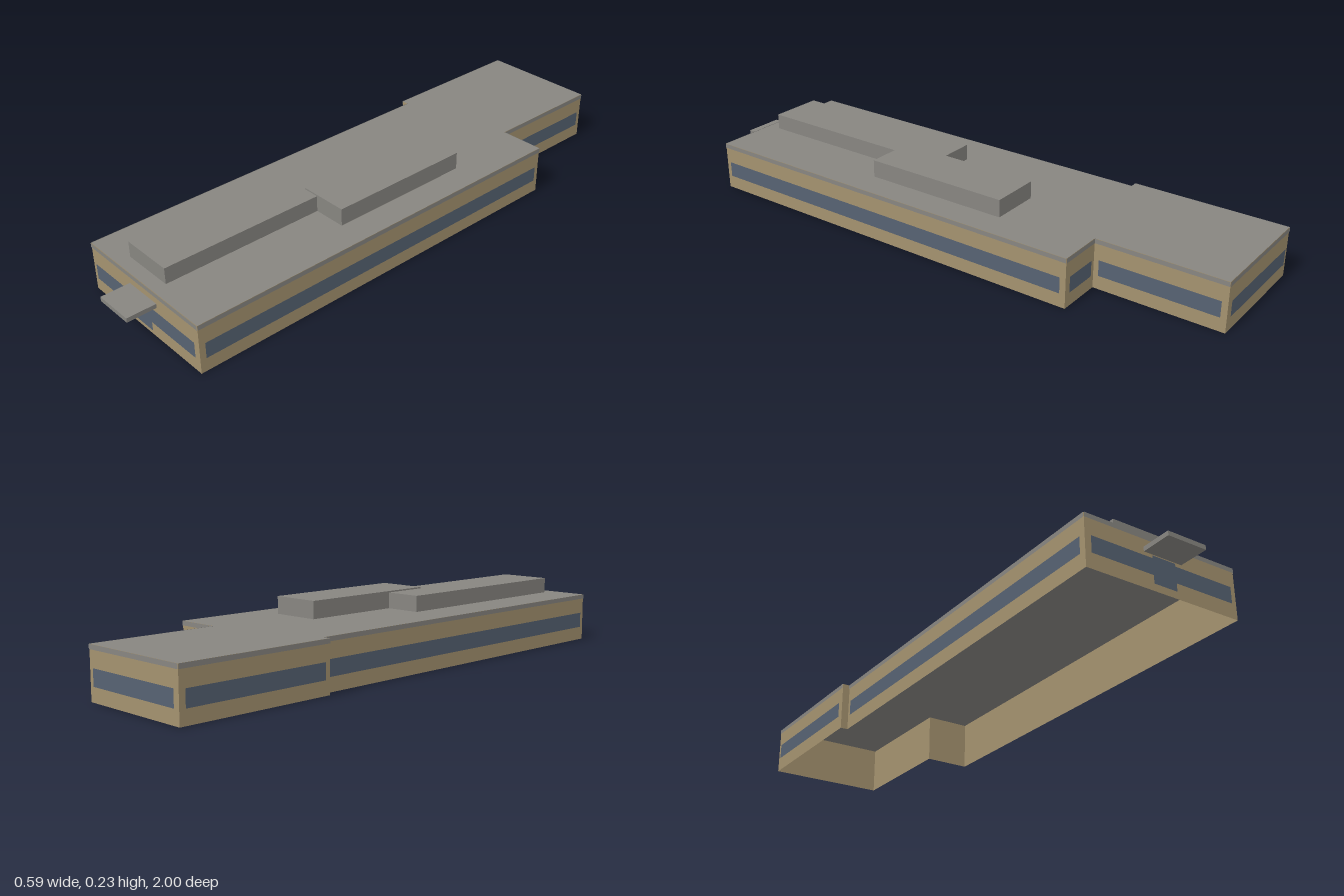
import * as THREE from 'three';

const H = 0.17;

// Footprint corners [x, z], starting at the front and running round past +x
const FOOTPRINT = [
  [-0.262, 0.9], [0.29, 0.9], [0.29, -0.557], [0.13, -0.557],
  [0.13, -1], [-0.292, -1], [-0.292, -0.46], [-0.266, -0.46],
];

export function createModel() {
  const wallMat = new THREE.MeshStandardMaterial({ color: 0xa4926f, side: THREE.DoubleSide });
  wallMat.name = 'tan wall';
  const roofMat = new THREE.MeshStandardMaterial({ color: 0x878580, side: THREE.DoubleSide });
  roofMat.name = 'grey roof';
  const glassMat = new THREE.MeshStandardMaterial({ color: 0x566272 });
  glassMat.name = 'blue grey glass';

  const model = new THREE.Group();
  model.name = 'building';

  // Upright panel along a wall from a to b, pushed outward by offset
  function panel(name, mat, a, b, y0, y1, margin, offset) {
    const dx = b[0] - a[0], dz = b[1] - a[1];
    const len = Math.hypot(dx, dz);
    const nx = -dz / len, nz = dx / len;
    const mesh = new THREE.Mesh(new THREE.PlaneGeometry(len - 2 * margin, y1 - y0), mat);
    mesh.name = name;
    mesh.position.set((a[0] + b[0]) / 2 + nx * offset, (y0 + y1) / 2, (a[1] + b[1]) / 2 + nz * offset);
    mesh.rotation.y = Math.atan2(nx, nz);
    model.add(mesh);
  }

  function block(name, x0, x1, y0, y1, z0, z1) {
    const mesh = new THREE.Mesh(new THREE.BoxGeometry(x1 - x0, y1 - y0, z1 - z0), roofMat);
    mesh.name = name;
    mesh.position.set((x0 + x1) / 2, (y0 + y1) / 2, (z0 + z1) / 2);
    model.add(mesh);
  }

  // Walls open underneath; all but the tiny step carry a window strip and roof band
  FOOTPRINT.forEach((a, i) => {
    const b = FOOTPRINT[(i + 1) % FOOTPRINT.length];
    panel('wall', wallMat, a, b, 0, H, 0, 0);
    if (Math.hypot(b[0] - a[0], b[1] - a[1]) < 0.05) return;
    panel('windowStrip', glassMat, a, b, 0.048, 0.102, 0.019, 0.003);
    panel('roofBand', roofMat, a, b, 0.155, H, 0, 0.002);
  });

  // Flat roof
  const shape = new THREE.Shape(FOOTPRINT.map(([x, z]) => new THREE.Vector2(x, -z)));
  const roof = new THREE.Mesh(new THREE.ShapeGeometry(shape).rotateX(-Math.PI / 2), roofMat);
  roof.name = 'roof';
  roof.position.y = H;
  model.add(roof);

  // Overlapping rooftop blocks
  block('frontRoofBlock', -0.118, 0.07, H, 0.225, 0.113, 0.853);
  block('rearRoofBlock', 0.011, 0.187, H, 0.23, -0.243, 0.277);

  // Entrance door and canopy
  panel('door', glassMat, [-0.028, 0.9], [0.056, 0.9], 0.02, 0.109, 0, 0.005);
  block('canopy', -0.054, 0.084, 0.116, 0.131, 0.898, 1);

  return model;
}
